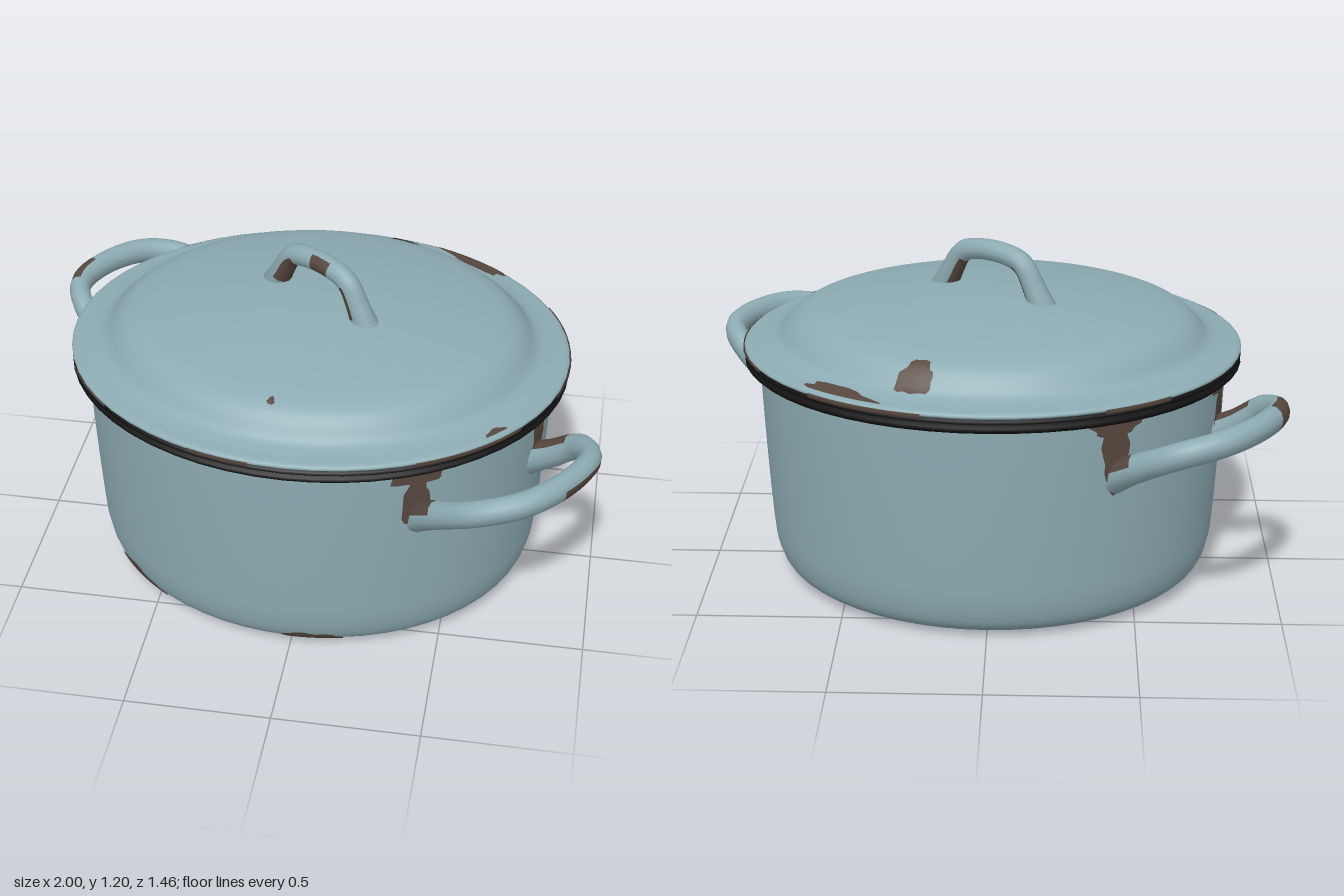
import * as THREE from 'three';

const mat = (name, color, side = THREE.FrontSide) => {
  const m = new THREE.MeshStandardMaterial({ color, side });
  m.name = name;
  return m;
};
const V = (x, y, z) => new THREE.Vector3(x, y, z);
const profile = (pts) => new THREE.SplineCurve(pts.map(([r, y]) => new THREE.Vector2(r, y))).getPoints(60);

// Oval proportions (depth / width)
const LID_K = 0.845, BODY_K = 0.858;

const bodyProfile = profile([[0.66, 0.008], [0.71, 0.02], [0.755, 0.06], [0.78, 0.14], [0.79, 0.26],
  [0.8, 0.45], [0.808, 0.65], [0.812, 0.8]]);
const lidProfile = profile([[0.845, 0.828], [0.863, 0.838], [0.852, 0.851], [0.8, 0.858], [0.75, 0.874],
  [0.705, 0.92], [0.66, 0.95], [0.58, 0.972], [0.4, 1.0], [0.18, 1.022], [0, 1.03]]);

// Look up a profile: lid height at a radius, body radius at a height
function lidHeight(r) {
  for (let i = lidProfile.length - 1; i > 0; i--) {
    const a = lidProfile[i], b = lidProfile[i - 1];
    if (r <= b.x) return a.y + (b.y - a.y) * (r - a.x) / (b.x - a.x || 1);
  }
  return 0.845;
}
function bodyRadius(y) {
  for (let i = 1; i < bodyProfile.length; i++) {
    const a = bodyProfile[i - 1], b = bodyProfile[i];
    if (y <= b.y) return a.x + (b.x - a.x) * Math.max(0, (y - a.y) / (b.y - a.y));
  }
  return 0.812;
}

export function createModel() {
  const group = new THREE.Group();
  group.name = 'cookingPot';
  const enamel = mat('blueEnamel', 0x8cabb2);
  const black = mat('blackRim', 0x111111);
  const base = mat('darkBase', 0x333333);
  const rust = mat('brownRust', 0x57483f, THREE.DoubleSide);

  const add = (name, geo, material, parent = group) => {
    const m = new THREE.Mesh(geo, material);
    m.name = name;
    parent.add(m);
    return m;
  };
  const oval = (name, pts, k, material) =>
    add(name, new THREE.LatheGeometry(pts, 56).scale(1, 1, k), material);
  const pairs = (list) => list.map(([r, y]) => new THREE.Vector2(r, y));

  // Pot, dark underside, rim and lid
  oval('body', bodyProfile, BODY_K, enamel);
  oval('base', pairs([[0, 0], [0.64, 0], [0.685, 0.012]]), BODY_K, base);
  oval('rim', pairs([[0.805, 0.79], [0.852, 0.783], [0.863, 0.793], [0.86, 0.802], [0.84, 0.807],
    [0.84, 0.812], [0.862, 0.817], [0.862, 0.828], [0.84, 0.833]]), LID_K, black);
  oval('lid', lidProfile, LID_K, enamel);

  // Uneven round chip, bent onto a surface by the place(u, v) rule
  function chip(name, place, seed) {
    const geo = new THREE.RingGeometry(0.001, 1, 24, 5);
    const p = geo.attributes.position;
    for (let i = 0; i < p.count; i++) {
      const x = p.getX(i), y = p.getY(i), a = Math.atan2(y, x);
      const f = 1 + 0.14 * Math.sin(3 * a + seed) + 0.09 * Math.sin(7 * a + seed * 2);
      const q = place(x * f, y * f);
      p.setXYZ(i, q.x, q.y, q.z);
    }
    geo.computeVertexNormals();
    add(name, geo, rust);
  }
  const lidChip = (x0, z0, w, h, turn) => chip('lidChip', (u, v) => {
    const c = Math.cos(turn), s = Math.sin(turn);
    let x = x0 + u * w * c - v * h * s, z = z0 + u * w * s + v * h * c;
    const r = Math.hypot(x, z / LID_K), f = Math.min(1, 0.85 / r);
    x *= f;
    z *= f;
    return V(x, lidHeight(r * f) + 0.005, z);
  }, x0 * 9);
  const bodyChip = (phi, y0, w, h) => chip('bodyChip', (u, v) => {
    const y = THREE.MathUtils.clamp(y0 + v * h, 0.01, 0.795), r = bodyRadius(y) + 0.005;
    return V(r * Math.sin(phi + u * w), y, r * BODY_K * Math.cos(phi + u * w));
  }, phi * 5 + y0);

  // Worn spots on the lid: x, z, half length, half width, turn
  [[0.23, -0.57, 0.06, 0.045, 0], [0.47, -0.58, 0.16, 0.035, 0.62], [0.66, 0.46, 0.055, 0.025, -0.8],
    [-0.66, -0.48, 0.05, 0.012, -0.7], [-0.07, 0.54, 0.012, 0.015, 0]].forEach((c) => lidChip(...c));

  // Worn spots low on the wall and around the handle roots: angle, height, half sizes
  bodyChip(-0.86, 0.06, 0.17, 0.055);
  bodyChip(0.1, 0.04, 0.13, 0.04);
  for (const turn of [0, Math.PI]) {
    for (const phi of [0.54, 1.29]) {
      bodyChip(phi + turn, 0.66, 0.06, 0.12);
      bodyChip(phi + turn, 0.76, 0.11, 0.035);
    }
  }

  // Worn strips along the edge of the lid
  for (const [start, length] of [[0.5, 0.5], [1.3, 0.75], [2.4, 0.5], [3.6, 0.3], [5.1, 0.35], [5.9, 0.25]]) {
    const strip = new THREE.LatheGeometry(pairs([[0.862, 0.826], [0.868, 0.834], [0.866, 0.844]]), 12, start, length);
    add('rimChip', strip.scale(1, 1, LID_K), rust);
  }

  // Bent bar with a varying thickness; worn(t, normal) picks the brown faces
  function bar(name, points, radius, thickness, tall, worn, parent) {
    const curve = new THREE.CatmullRomCurve3(points), N = 40, R = 12;
    const geo = new THREE.TubeGeometry(curve, N, radius, R);
    const p = geo.attributes.position, n = geo.attributes.normal;
    const v = V(), nor = V();
    for (let i = 0; i < p.count; i++) {
      const t = Math.floor(i / (R + 1)) / N, c = curve.getPointAt(t);
      v.fromBufferAttribute(p, i).sub(c).multiplyScalar(thickness(t));
      v.y *= tall;
      v.add(c);
      p.setXYZ(i, v.x, v.y, v.z);
    }
    const clean = [], brown = [], idx = geo.index.array;
    for (let q = 0; q < idx.length; q += 6) {
      nor.fromBufferAttribute(n, idx[q]);
      const t = Math.floor(q / 6 / R) / N;
      (worn(t, nor) ? brown : clean).push(...idx.slice(q, q + 6));
    }
    geo.setIndex([...clean, ...brown]);
    geo.addGroup(0, clean.length, 0);
    geo.addGroup(clean.length, brown.length, 1);
    return add(name, geo, [enamel, rust], parent);
  }

  // Side handles, the second turned half way round
  const path = [V(0.75, 0.57, 0.19), V(0.83, 0.62, 0.22), V(0.92, 0.70, 0.275), V(0.962, 0.735, 0.38),
    V(0.9, 0.745, 0.53), V(0.77, 0.735, 0.655), V(0.62, 0.70, 0.685), V(0.5, 0.635, 0.63), V(0.41, 0.57, 0.56)];
  const flare = (t) => 1 + 0.35 * Math.pow(Math.abs(2 * t - 1), 6);
  const roots = (t, n) => (t < 0.16 || t > 0.88) && n.y > 0.35;
  const left = new THREE.Group(), right = new THREE.Group();
  left.name = 'leftHandle';
  right.name = 'rightHandle';
  right.rotation.y = Math.PI;
  group.add(left, right);
  bar('handleBar', path, 0.038, flare, 1.25,
    (t, n) => roots(t, n) || (t > 0.3 && t < 0.5 && n.y < 0.35 && n.x > -0.3), left);
  bar('handleBar', path, 0.038, flare, 1.25,
    (t, n) => roots(t, n) || (t > 0.28 && t < 0.4 && n.x > -0.2), right);

  // Lid grip
  const grip = [[-0.175, 0.99, -0.115], [-0.145, 1.06, -0.095], [-0.105, 1.135, -0.07], [-0.05, 1.158, -0.033],
    [0.05, 1.158, 0.033], [0.105, 1.135, 0.07], [0.145, 1.06, 0.095], [0.175, 0.99, 0.115]];
  bar('lidGrip', grip.map((g) => V(...g)), 0.037, (t) => 1 + 0.4 * Math.pow(Math.abs(2 * t - 1), 5), 1,
    (t, n) => {
      const inward = (t < 0.5 ? 1 : -1) * (n.x * 0.83 + n.z * 0.55);
      return (t > 0.08 && t < 0.32 && inward > 0.1) || (t > 0.7 && t < 0.92 && inward > 0.3)
        || (Math.abs(t - 0.52) < 0.07 && n.z > 0.5);
    });

  return group;
}
